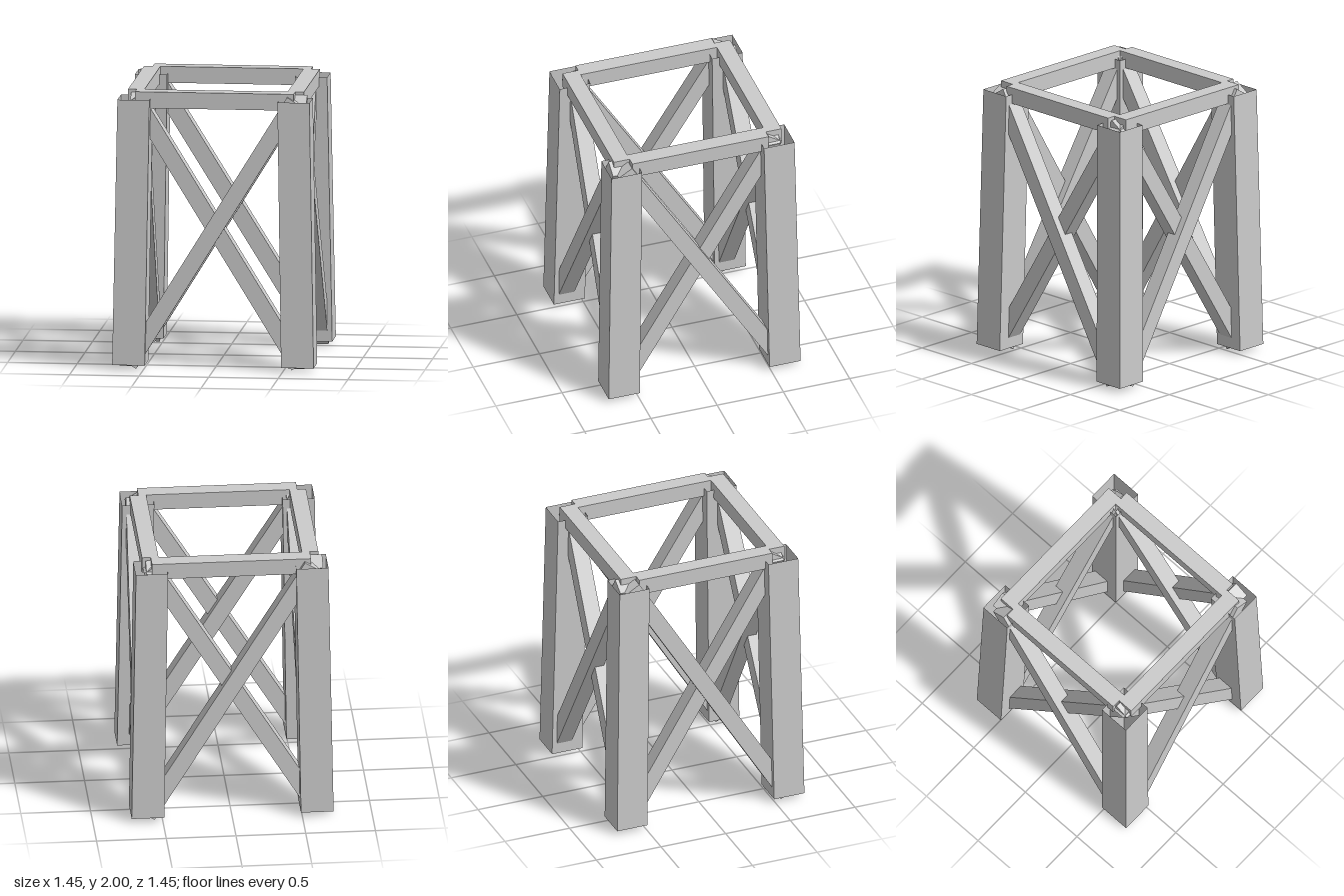
import * as THREE from 'three';

const material = new THREE.MeshStandardMaterial({ color: 0xcccccc, flatShading: true, side: THREE.DoubleSide });

const LOW = 0.607, HIGH = 0.575;          // leg centre offset at foot and at top
const Y0 = 0.034, Y1 = 1.949;             // leg foot and top heights
const BEAM = 0.118;                       // timber thickness of beams and braces

function add(parent, name, geometry) {
  const mesh = new THREE.Mesh(geometry, material);
  mesh.name = name;
  parent.add(mesh);
  return mesh;
}

// Open square tube leaning inward towards the top
function legGeometry(sx, sz) {
  const h = Y1 - Y0;
  const geo = new THREE.CylinderGeometry(0.23 / Math.SQRT2, 0.234 / Math.SQRT2, h, 4, 1, true);
  geo.rotateY(Math.PI / 4).translate(0, h / 2, 0);
  const p = geo.attributes.position;
  for (let i = 0; i < p.count; i++) {
    const c = THREE.MathUtils.lerp(LOW, HIGH, p.getY(i) / h);
    p.setXYZ(i, p.getX(i) + sx * c, p.getY(i) + Y0, p.getZ(i) + sz * c);
  }
  geo.computeVertexNormals();
  return geo;
}

// Square timber from the foot of one leg to the top of the next;
// n is the outward direction of the side, t runs along it
function braceGeometry(n, t, offset) {
  const at = (along, out, y) => new THREE.Vector3(0, y, 0).addScaledVector(t, along).addScaledVector(n, out + offset);
  const a = at(-LOW, LOW, Y0), b = at(HIGH, HIGH, Y1);
  const dir = b.clone().sub(a);
  const length = dir.length();
  dir.normalize();
  const depth = n.clone().addScaledVector(dir, -n.dot(dir)).normalize();
  const width = dir.clone().cross(depth);
  const m = new THREE.Matrix4().makeBasis(width, dir, depth).setPosition(a.add(b).multiplyScalar(0.5));
  return new THREE.BoxGeometry(BEAM, length, BEAM).applyMatrix4(m);
}

export function createModel() {
  const model = new THREE.Group();
  model.name = 'towerFrame';

  // Corner legs
  for (const sx of [-1, 1]) for (const sz of [-1, 1]) add(model, 'leg', legGeometry(sx, sz));

  // Crossed braces on the four sides, one slightly outside the other
  const x = new THREE.Vector3(1, 0, 0), z = new THREE.Vector3(0, 0, 1);
  for (const s of [1, -1]) {
    for (const [n, t] of [[z, x], [x, z]]) {
      const out = n.clone().multiplyScalar(s), along = t.clone().multiplyScalar(s);
      add(model, 'outerBrace', braceGeometry(out, along, 0.024));
      add(model, 'innerBrace', braceGeometry(out, along.clone().negate(), -0.026));
    }
  }

  // Top frame: long front and back beams, shorter side beams between them
  const beamY = 2 - BEAM / 2;
  for (const s of [1, -1]) {
    add(model, s > 0 ? 'frontBeam' : 'backBeam', new THREE.BoxGeometry(1.14, BEAM, BEAM)).position.set(0, beamY, s * 0.573);
    add(model, s > 0 ? 'leftBeam' : 'rightBeam', new THREE.BoxGeometry(BEAM, BEAM, 1.028)).position.set(s * 0.573, beamY, 0);
  }
  return model;
}
